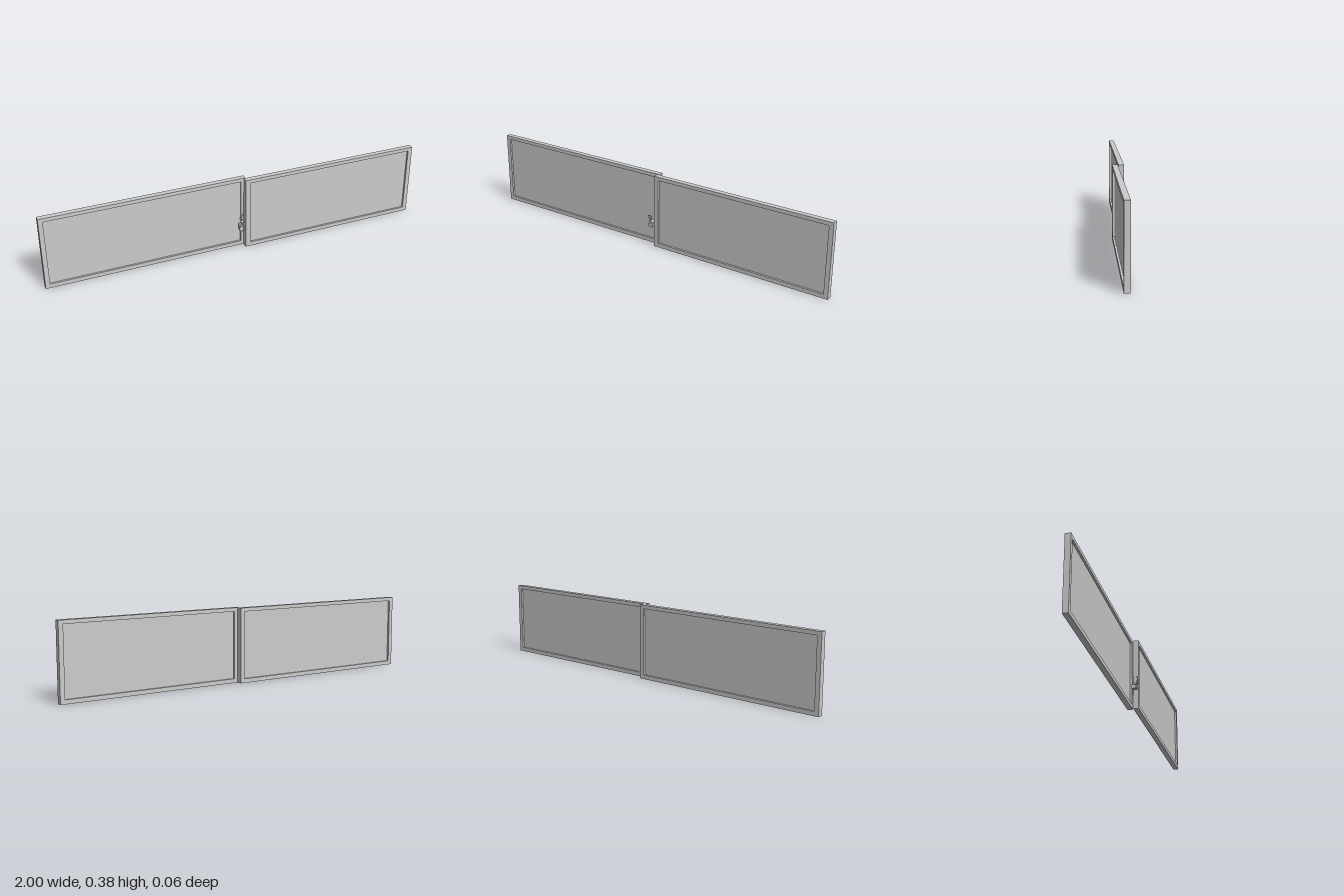
import * as THREE from 'three';

const H = 0.381, DEPTH = 0.028;
const material = new THREE.MeshStandardMaterial({ color: 0xcccccc, flatShading: true });

function add(parent, name, geometry, x = 0, y = 0, z = 0) {
  const mesh = new THREE.Mesh(geometry, material);
  mesh.name = name;
  mesh.position.set(x, y, z);
  parent.add(mesh);
  return mesh;
}

function polygon(points) {
  return new THREE.Shape(points.map(([x, y]) => new THREE.Vector2(x, y)));
}

const rect = (x0, y0, x1, y1) => polygon([[x0, y0], [x1, y0], [x1, y1], [x0, y1]]);

// Sliding sash: rectangular frame with a thin pane set into its middle
function makeSash(name, x0, x1, inner0, inner1, z) {
  const sash = new THREE.Group();
  sash.name = name;
  const y0 = 0.021, y1 = H - 0.019;
  const outline = rect(x0, 0, x1, H);
  outline.holes.push(rect(inner0, y0, inner1, y1));
  const frame = new THREE.ExtrudeGeometry(outline, { depth: DEPTH, bevelEnabled: false });
  add(sash, 'frame', frame, 0, 0, z - DEPTH / 2);
  add(sash, 'pane', new THREE.BoxGeometry(inner1 - inner0, y1 - y0, 0.008),
    (inner0 + inner1) / 2, (y0 + y1) / 2, z);
  return sash;
}

// Small window catch: mounting plate, pivot, hooked lever and keeper
function makeLatch() {
  const latch = new THREE.Group();
  latch.name = 'latch';
  const plate = polygon([[0.019, 0.1], [0.034, 0.065], [0.034, 0.19], [0.019, 0.16]]);
  add(latch, 'mountingPlate',
    new THREE.ExtrudeGeometry(plate, { depth: 0.003, bevelEnabled: false }), 0, 0, -0.002);
  add(latch, 'catchBody', new THREE.BoxGeometry(0.018, 0.02, 0.029), 0.013, 0.11, 0.0125);
  const pivot = add(latch, 'pivot', new THREE.CylinderGeometry(0.007, 0.007, 0.024, 12),
    0.009, 0.127, 0.014);
  pivot.rotation.x = Math.PI / 2;
  // Lever profile in depth and height, leaning outward at its top
  const lever = polygon([[0.021, 0.115], [0.027, 0.115], [0.032, 0.162], [0.028, 0.162]]);
  const leverMesh = add(latch, 'lever',
    new THREE.ExtrudeGeometry(lever, { depth: 0.008, bevelEnabled: false }), 0.014, 0, 0);
  leverMesh.rotation.y = -Math.PI / 2;
  add(latch, 'thumbTab', new THREE.BoxGeometry(0.02, 0.012, 0.004), 0.009, 0.157, 0.029);
  add(latch, 'keeper', new THREE.BoxGeometry(0.01, 0.014, 0.006), 0.002, 0.11, 0.024);
  return latch;
}

export function createModel() {
  const model = new THREE.Group();
  model.name = 'slidingWindow';
  model.add(makeSash('rearSash', -1, 0.042, -0.977, 0.019, -0.017));
  model.add(makeSash('frontSash', 0.032, 1, 0.058, 0.977, 0.0145));
  model.add(makeLatch());
  return model;
}
